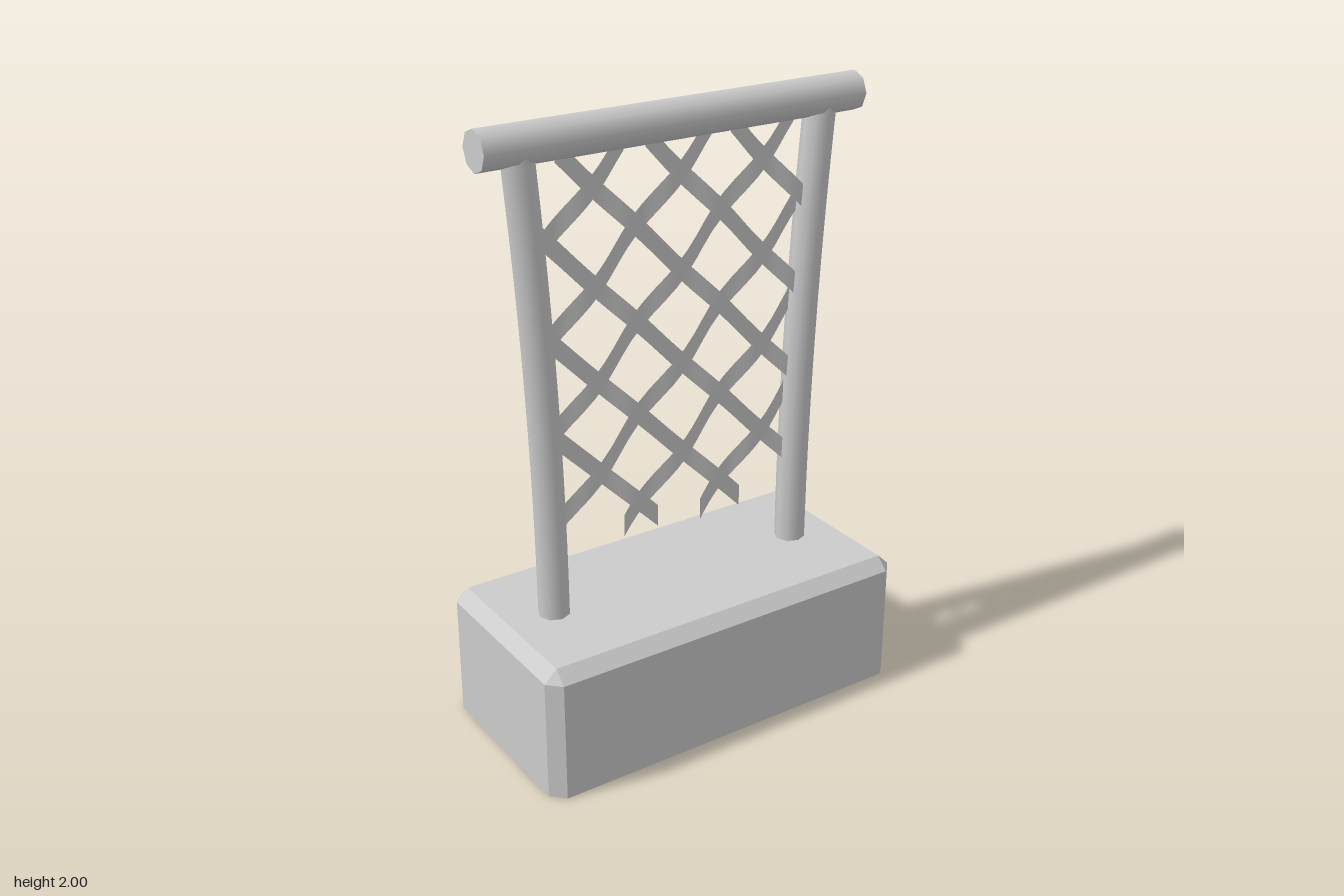
import * as THREE from 'three';

const material = new THREE.MeshStandardMaterial({ color: 0xcccccc, side: THREE.DoubleSide });
const flatMaterial = new THREE.MeshStandardMaterial({ color: 0xcccccc, side: THREE.DoubleSide, flatShading: true });

function part(name, geometry, mat = material) {
  const mesh = new THREE.Mesh(geometry, mat);
  mesh.name = name;
  return mesh;
}

function meshGeometry(positions, index) {
  const g = new THREE.BufferGeometry();
  g.setAttribute('position', new THREE.Float32BufferAttribute(positions, 3));
  g.setIndex(index);
  g.computeVertexNormals();
  return g;
}

// Planter box: chamfered corners and top rim, open underneath
function planterGeometry() {
  const hx = 0.657, hz = 0.326, c = 0.042;
  const pos = [], index = [];
  for (const [y, inset, cut] of [[0, 0, c], [0.4, 0, c], [0.44, c, 0]]) {
    const x = hx - inset, z = hz - inset;
    for (const [sx, sz] of [[1, 1], [1, -1], [-1, -1], [-1, 1]]) {
      const a = [sx * (x - cut), y, sz * z];
      const b = [sx * x, y, sz * (z - cut)];
      pos.push(...(sx === sz ? [...a, ...b] : [...b, ...a]));
    }
  }
  for (let r = 0; r < 2; r++) {
    for (let i = 0; i < 8; i++) {
      const a = r * 8 + i, b = r * 8 + (i + 1) % 8;
      index.push(a, b, b + 8);
      if (r === 0 || i % 2) index.push(a, b + 8, a + 8);
    }
  }
  index.push(16, 18, 20, 16, 20, 22);
  return meshGeometry(pos, index);
}

// Centre line of a post, flaring outward with height
const postX = (y) => 0.46 + 0.065 * Math.max(0, (y - 0.44) / 1.46) ** 2;

function postGeometry(side) {
  const points = [];
  for (let i = 0; i <= 6; i++) {
    const y = 0.42 + i * 0.25;
    points.push(new THREE.Vector3(side * postX(y), y, 0));
  }
  return new THREE.TubeGeometry(new THREE.CatmullRomCurve3(points), 12, 0.051, 8);
}

// Lattice: line k of each family is y = start + step * k + slope * x
const family = {
  1: { start: 0.555, step: 0.305, ends: [0.09, -0.195] },
  '-1': { start: 0.595, step: 0.3, ends: [0.245, -0.075] },
};

// Flat slat with upright end cuts, passing over and under the other family
function slatGeometry(slope, k) {
  const own = family[slope], other = family[-slope];
  const at = (x) => own.start + own.step * k + slope * x;
  const inside = (x) => at(x) < 1.91 && Math.abs(x) < postX(at(x)) - 0.02;
  const lowEnd = slope > 0 ? own.ends[k] : [-0.075, 0.245][k];
  let lo = Infinity, hi = -Infinity;
  for (let x = -0.55; x <= 0.55; x += 0.005) {
    if (!inside(x)) continue;
    lo = Math.min(lo, x);
    hi = Math.max(hi, x);
  }
  if (lowEnd !== undefined) {
    if (slope > 0) lo = lowEnd;
    else hi = lowEnd;
  }
  const n = 24, pos = [], index = [];
  for (let i = 0; i <= n; i++) {
    const x = lo + (hi - lo) * i / n, y = at(x);
    const crossing = (y + slope * x - other.start) / other.step;
    const z = slope * 0.014 * Math.cos(Math.PI * (crossing + k));
    pos.push(x, y - 0.037, z, x, y + 0.037, z);
    const a = 2 * i;
    if (i < n) index.push(a, a + 2, a + 3, a, a + 3, a + 1);
  }
  return meshGeometry(pos, index);
}

export function createModel() {
  const model = new THREE.Group();
  model.name = 'trellisPlanter';

  model.add(part('planterBase', planterGeometry(), flatMaterial));
  model.add(part('leftPost', postGeometry(1)), part('rightPost', postGeometry(-1)));

  // Top rail
  const rail = part('topRail', new THREE.CylinderGeometry(0.0625, 0.0625, 1.314, 8));
  rail.rotation.z = Math.PI / 2;
  rail.position.y = 1.9375;
  model.add(rail);

  // Woven slats
  const lattice = new THREE.Group();
  lattice.name = 'lattice';
  for (const slope of [1, -1]) {
    for (let k = 0; k < 6; k++) lattice.add(part('slat', slatGeometry(slope, k)));
  }
  model.add(lattice);
  return model;
}
